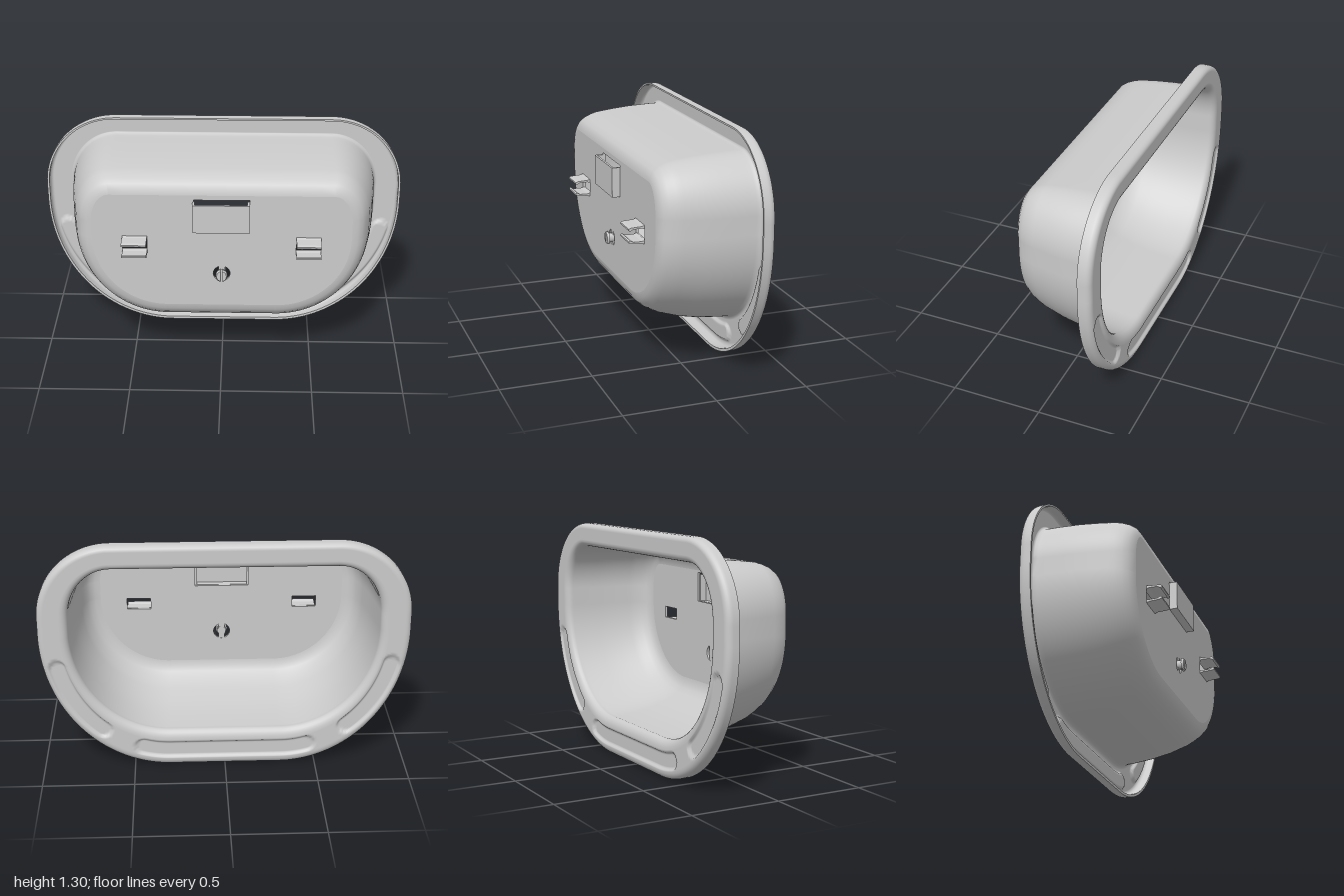
import * as THREE from 'three';

const grey = new THREE.MeshStandardMaterial({ color: 0xcccccc, side: THREE.DoubleSide });
const WALL = 0.015, FACE = 0.22;

// Outline of the tray at half width w, bottom b and top t (counter-clockwise seen from the front)
function outline([w, b, t]) {
  const half = [];
  const arc = (cx, cy, rx, ry, a0, n) => {
    for (let i = 0; i <= n; i++) {
      const a = a0 + (i / n) * Math.PI / 2;
      half.push([cx + rx * Math.cos(a), cy + ry * Math.sin(a)]);
    }
  };
  for (let i = 0; i < 20; i++) half.push([0.3 * i / 20, b]);
  arc(0.3, 0.8, w - 0.3, 0.8 - b, -Math.PI / 2, 80);
  arc(0.6, 0.9, w - 0.6, t - 0.9, 0, 24);
  for (let i = 1; i <= 8; i++) half.push([0.6 * (1 - i / 8), t]);
  return half.concat(half.slice(1, -1).reverse().map(([x, y]) => [-x, y]));
}

// Centre lines of the three finger recesses, along the middle of the flange
const slots = [];
for (const s of [-1, 1]) {
  for (let i = 0; i <= 40; i++) {
    const a = THREE.MathUtils.degToRad(-54 + 38 * i / 40);
    slots.push([s * (0.3 + 0.625 * Math.cos(a)), 0.8 + 0.7 * Math.sin(a)]);
    const x = 0.45 * i / 40, k = Math.max(0, x - 0.3) / 0.625;
    slots.push([s * x, 0.8 - 0.7 * Math.sqrt(1 - k * k)]);
  }
}
function recess(x, y) {
  let d = 1;
  for (const [u, v] of slots) d = Math.min(d, Math.hypot(x - u, y - v));
  return 0.014 * (1 - THREE.MathUtils.smoothstep(d, 0.038, 0.052));
}

// Skin through a list of sections [w, b, t, z]
function loft(sections, flip) {
  const pos = [], idx = [];
  let n = 0;
  sections.forEach((s, i) => {
    const ring = outline(s);
    n = ring.length;
    ring.forEach(([x, y], j) => {
      pos.push(x, y, s[3] + (s[3] < -0.28 ? recess(x, y) : 0));
      if (i === sections.length - 1) return;
      const a = i * n + j, b = i * n + (j + 1) % n, c = a + n, d = b + n;
      if (flip) idx.push(a, c, b, b, c, d);
      else idx.push(a, b, c, b, d, c);
    });
  });
  const g = new THREE.BufferGeometry();
  g.setAttribute('position', new THREE.Float32BufferAttribute(pos, 3));
  g.setIndex(idx);
  g.computeVertexNormals();
  return g;
}

// Flange section: f = 0 at the outer edge, 1 at the tray wall
const flange = (f, z) => [1 - 0.15 * f, 0.195 * f, 1.305 - 0.12 * f, z];

// Wall sections from the flange to the front panel
const wall = [
  [0.848, 0.196, 1.185, -0.23], [0.835, 0.21, 1.18, -0.1], [0.82, 0.23, 1.172, 0],
  [0.8, 0.262, 1.16, 0.1], [0.79, 0.28, 1.15, 0.135], [0.775, 0.3, 1.135, 0.17],
  [0.757, 0.325, 1.115, 0.198], [0.73, 0.355, 1.09, 0.215], [0.7, 0.385, 1.06, FACE],
];

function rectPath(x0, x1, y0, y1, P = THREE.Path) {
  return new P([[x0, y0], [x1, y0], [x1, y1], [x0, y1]].map(p => new THREE.Vector2(...p)));
}

export function createModel() {
  const root = new THREE.Group();
  const add = (name, geo, parent = root) => {
    const m = new THREE.Mesh(geo, grey);
    m.name = name;
    parent.add(m);
    return m;
  };
  const box = (name, x0, x1, y0, y1, z0, z1, parent) => {
    const m = add(name, new THREE.BoxGeometry(x1 - x0, y1 - y0, z1 - z0), parent);
    m.position.set((x0 + x1) / 2, (y0 + y1) / 2, (z0 + z1) / 2);
  };

  // Rear skin: rounded lip, flange with recesses, rolled opening, inside of the tray
  const rear = [flange(0, -0.235), flange(0, -0.255)];
  for (let i = 0; i <= 6; i++) {
    const a = i / 6 * Math.PI / 2;
    rear.push(flange(0.22 * (1 - Math.cos(a)), -0.27 - 0.035 * Math.sin(a)));
  }
  for (let i = 1; i <= 18; i++) rear.push(flange(0.22 + 0.6 * i / 18, -0.305));
  for (let i = 1; i <= 6; i++) {
    const a = i / 6 * Math.PI / 2;
    rear.push(flange(0.82 + 0.28 * Math.sin(a), -0.265 - 0.04 * Math.cos(a)));
  }
  for (const [w, b, t, z] of wall) rear.push([w - WALL, b + WALL, t - WALL, z - WALL]);
  add('trayInside', loft(rear, true));

  // Front skin: hollow underside of the flange and outside of the tray
  const front = [flange(0.08, -0.235), flange(0.08, -0.272), flange(0.11, -0.285)];
  for (let i = 0; i <= 20; i++) front.push(flange(0.17 + 0.74 * i / 20, -0.29));
  front.push(flange(0.97, -0.284), flange(1, -0.265), ...wall);
  add('trayOutside', loft(front, false));
  add('lipEdge', loft([flange(0, -0.235), flange(0.08, -0.235)], false));

  // Front panel with openings for pocket, clips and stud
  const panel = new THREE.Shape(outline(wall[wall.length - 1]).map(p => new THREE.Vector2(...p)));
  panel.holes.push(rectPath(-0.15, 0.15, 0.868, 1.033));
  for (const s of [-1, 1]) panel.holes.push(rectPath(s * 0.47 - 0.067, s * 0.47 + 0.067, 0.73, 0.795));
  panel.holes.push(new THREE.Path().absarc(0, 0.585, 0.046, 0, Math.PI * 2, true));
  const panelGeo = new THREE.ExtrudeGeometry(panel, { depth: WALL, bevelEnabled: false, curveSegments: 16 });
  add('frontPanel', panelGeo.translate(0, 0, FACE - WALL));

  // Pocket, open at the top
  const pocket = new THREE.Group();
  pocket.name = 'pocket';
  root.add(pocket);
  box('pocketFront', -0.155, 0.15, 0.858, 1.022, 0.253, 0.265, pocket);
  box('pocketFloor', -0.155, 0.15, 0.858, 0.87, FACE - 0.005, 0.253, pocket);
  box('pocketLeftSide', 0.138, 0.15, 0.87, 1.022, FACE - 0.005, 0.253, pocket);
  box('pocketRightSide', -0.155, -0.143, 0.87, 1.022, FACE - 0.005, 0.253, pocket);

  // Clip arms: flared root and beaded tip, mirrored about y = 0.762
  const clip = new THREE.Shape([
    [0.215, 0.03], [0.215, 0.053], [0.235, 0.046], [0.292, 0.043], [0.305, 0.038],
    [0.305, 0.029], [0.297, 0.024], [0.288, 0.029], [0.28, 0.034], [0.235, 0.035],
  ].map(p => new THREE.Vector2(...p)));
  const clipGeo = new THREE.ExtrudeGeometry(clip, { depth: 0.134, bevelEnabled: false });
  clipGeo.rotateY(-Math.PI / 2).translate(0.067, 0, 0);
  for (const s of [-1, 1]) {
    const pair = new THREE.Group();
    pair.name = s > 0 ? 'leftClip' : 'rightClip';
    pair.position.set(s * 0.47, 0.762, 0);
    add('upperArm', clipGeo, pair);
    add('lowerArm', clipGeo, pair).rotation.z = Math.PI;
    root.add(pair);
  }

  // Split stud on a bridge across the round opening
  const stud = new THREE.Group();
  stud.name = 'stud';
  root.add(stud);
  const profile = [[0, 0], [0.026, 0], [0.026, 0.034], [0.037, 0.036], [0.037, 0.041], [0.03, 0.05], [0, 0.05]]
    .map(p => new THREE.Vector2(...p));
  const cap = new THREE.ShapeGeometry(new THREE.Shape(profile.concat(profile.slice(1, -1).reverse()
    .map(p => new THREE.Vector2(-p.x, p.y)))));
  for (const s of [-1, 1]) {
    const half = new THREE.Group();
    half.name = s > 0 ? 'leftHalf' : 'rightHalf';
    const body = new THREE.LatheGeometry(profile, 16, s > 0 ? 0 : Math.PI, Math.PI).toNonIndexed();
    body.computeVertexNormals();
    add('hook', body.rotateX(Math.PI / 2), half);
    add('slitWall', cap.clone().rotateY(s > 0 ? -Math.PI / 2 : Math.PI / 2).rotateX(Math.PI / 2), half);
    half.position.set(s * 0.004, 0.585, 0.205);
    half.scale.x = 0.75;
    stud.add(half);
  }
  box('bridge', -0.018, 0.018, 0.536, 0.634, 0.206, 0.219, stud);

  return root;
}
